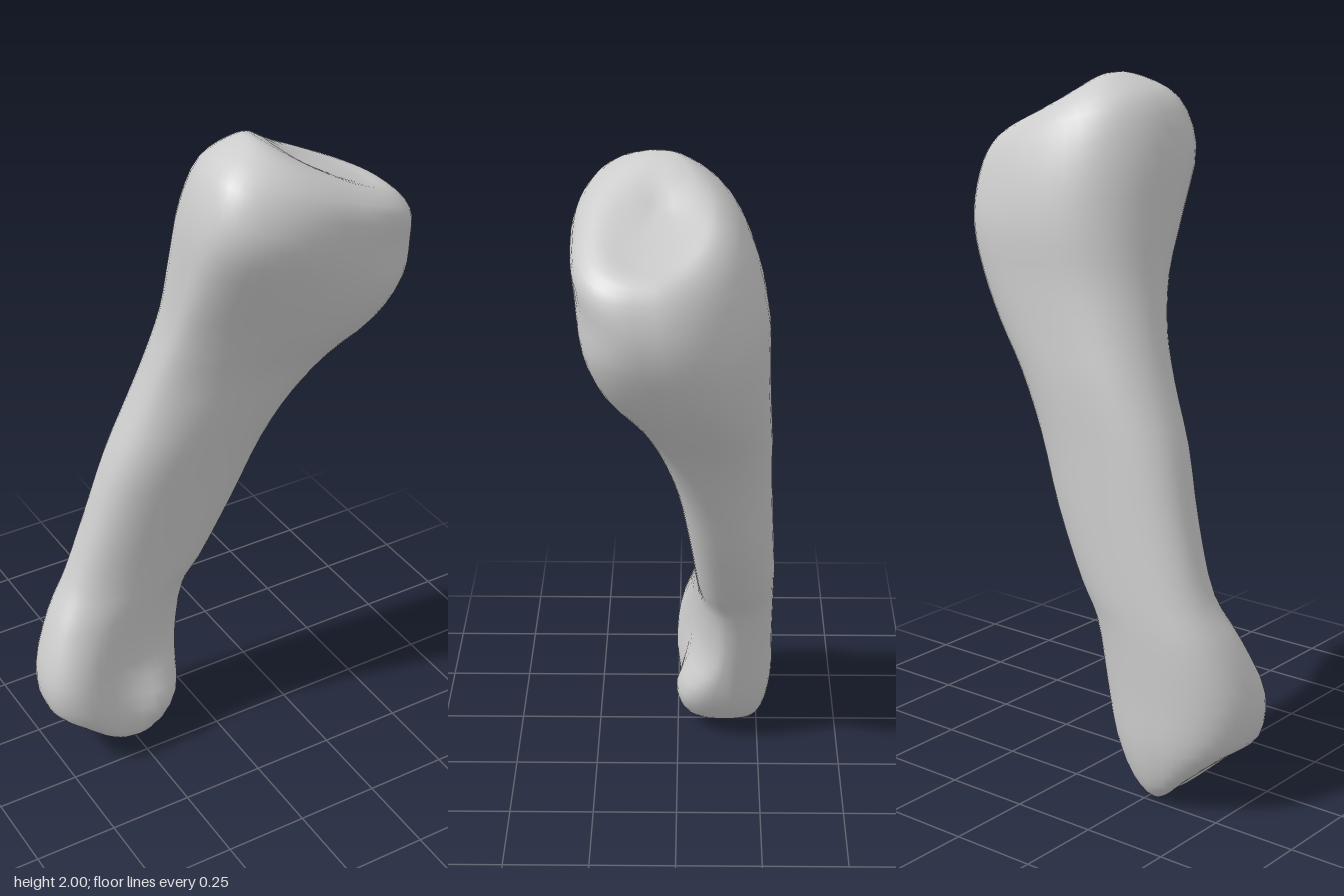
import * as THREE from 'three';
import { mergeVertices } from 'three/addons/utils/BufferGeometryUtils.js';

// Tilted cross-sections from the head down to the condyles:
// left x, left y, right x, right y, left z, right z, front z, back z, [frontSkew, sag, groove]
const RINGS = [
  [0.09, 1.995, 0.41, 1.81, 0.03, 0.05, 0.13, -0.06, 0, 0.012],
  [0.03, 1.985, 0.48, 1.79, 0.06, 0.05, 0.21, -0.11, 0, 0.005],
  [-0.06, 1.93, 0.52, 1.74, 0.1, 0.05, 0.265, -0.17],
  [-0.11, 1.8, 0.54, 1.65, 0.11, 0.04, 0.28, -0.22, 0.05],
  [-0.12, 1.62, 0.525, 1.55, 0.05, 0.01, 0.23, -0.25, -0.06],
  [-0.13, 1.45, 0.47, 1.43, -0.02, -0.03, 0.155, -0.255, -0.12],
  [-0.165, 1.3, 0.38, 1.3, -0.07, -0.08, 0.08, -0.262, -0.08],
  [-0.21, 1.17, 0.285, 1.17, -0.1, -0.1, 0.04, -0.27, -0.04],
  [-0.28, 1.0, 0.2, 1.0, -0.13, -0.12, 0.005, -0.275],
  [-0.34, 0.8, 0.12, 0.8, -0.16, -0.15, -0.03, -0.285],
  [-0.41, 0.6, 0.02, 0.6, -0.17, -0.17, -0.055, -0.295],
  [-0.48, 0.48, -0.035, 0.5, -0.14, -0.17, -0.045, -0.297, 0.06],
  [-0.535, 0.32, -0.07, 0.3, -0.11, -0.16, -0.005, -0.297, 0.13, 0, 0.02],
  [-0.52, 0.2, -0.1, 0.16, -0.11, -0.15, 0.02, -0.297, 0.01, 0.01, 0.035],
  [-0.46, 0.15, -0.15, 0.07, -0.12, -0.15, -0.02, -0.275, 0, 0.05],
  [-0.38, 0.09, -0.21, 0.025, -0.15, -0.17, -0.1, -0.24, 0, 0.045],
];
const TOP = new THREE.Vector3(0.22, 1.893, 0.04);
const BOTTOM = new THREE.Vector3(-0.28, 0, -0.18);

// Point on a cross-section; each quarter has its own fullness
function ringPoint(ring, angle) {
  const [xl, yl, xr, yr, zl, zr, front, back, skew = 0, sag = 0, groove = 0] = ring;
  const cos = Math.cos(angle), sin = Math.sin(angle);
  const power = sin > 0 ? (cos > 0 ? 0.66 : 0.86) : (cos > 0 ? 1 : 0.84);
  const full = (v) => Math.sign(v) * Math.abs(v) ** power;
  const c = full(cos), s = full(sin);
  const t = (c + 1) / 2, bell = Math.exp(-c * c * 8);
  let z = THREE.MathUtils.lerp(zl, zr, t) * (1 - Math.abs(s)) + (s > 0 ? front : back) * Math.abs(s);
  if (s > 0) z += s * (skew * (0.35 - t) - groove * bell);
  return new THREE.Vector3(
    THREE.MathUtils.lerp(xl, xr, t),
    THREE.MathUtils.lerp(yl, yr, t) - sag * Math.sin(Math.PI * t),
    z);
}

// Smooth skin: one curve per angle, running from the top pole to the bottom pole
function loftGeometry(sides, steps) {
  const position = [], index = [];
  for (let j = 0; j < sides; j++) {
    const angle = (j / sides) * Math.PI * 2;
    const path = [TOP, ...RINGS.map((r) => ringPoint(r, angle)), BOTTOM];
    const curve = new THREE.CatmullRomCurve3(path, false, 'centripetal');
    for (const p of curve.getPoints(steps)) position.push(p.x, Math.max(p.y, 0), p.z);
  }
  const row = steps + 1;
  for (let j = 0; j < sides; j++) {
    for (let i = 0; i < steps; i++) {
      const a = j * row + i, b = ((j + 1) % sides) * row + i;
      if (i > 0) index.push(a, b, a + 1);
      if (i < steps - 1) index.push(b, b + 1, a + 1);
    }
  }
  let geometry = new THREE.BufferGeometry();
  geometry.setAttribute('position', new THREE.Float32BufferAttribute(position, 3));
  geometry.setIndex(index);
  geometry = mergeVertices(geometry, 1e-5);
  geometry.computeVertexNormals();
  return geometry;
}

export function createModel() {
  const group = new THREE.Group();
  group.name = 'bone';
  // Head, shaft and condyles in one continuous skin
  const bone = new THREE.Mesh(loftGeometry(48, 51), new THREE.MeshStandardMaterial({ color: 0xcccccc }));
  bone.name = 'boneShaftAndEnds';
  group.add(bone);
  return group;
}
